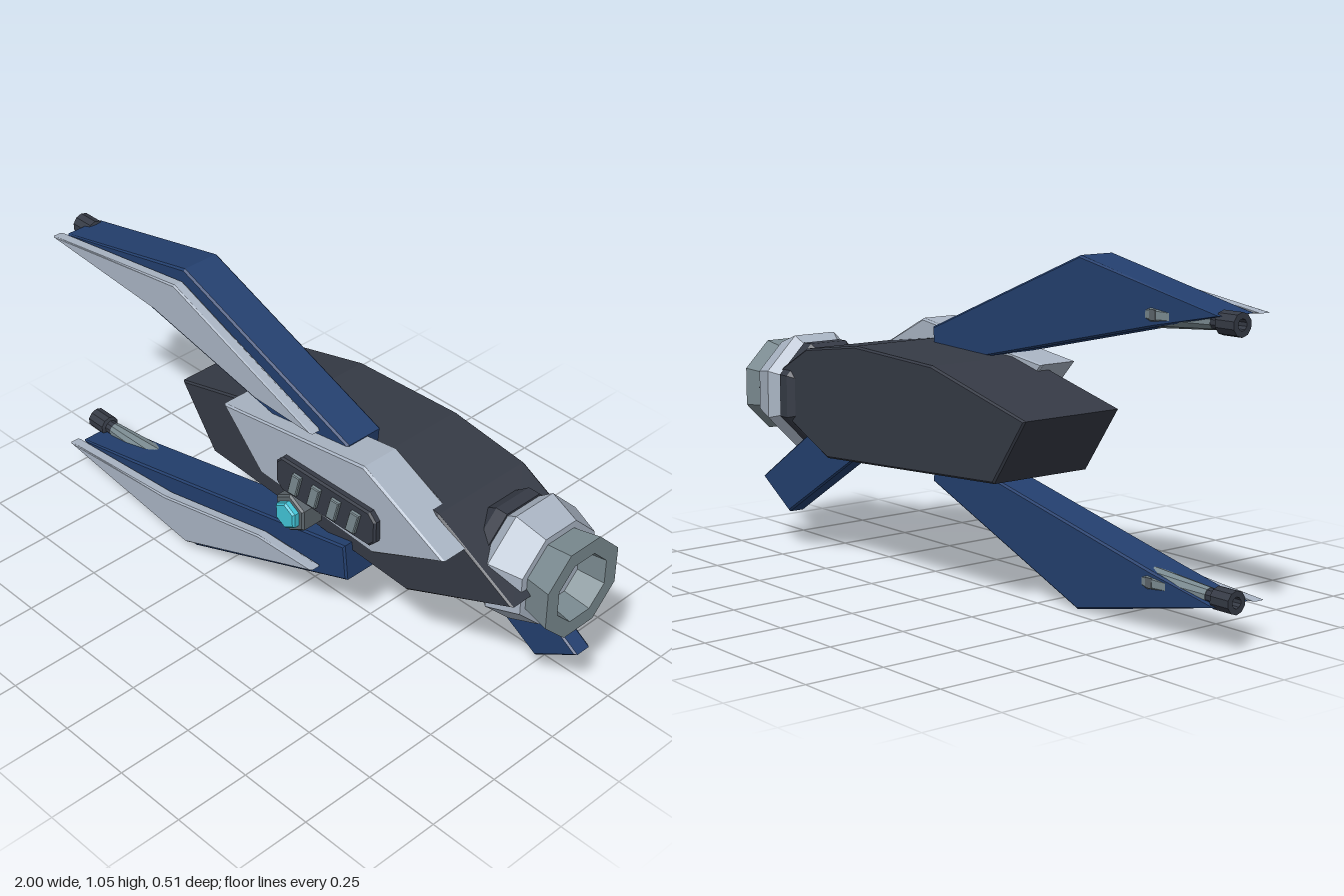
import * as THREE from 'three';

const mat = (name, color) => {
  const m = new THREE.MeshStandardMaterial({ color });
  m.name = name;
  return m;
};

export function createModel() {
  const dark = mat('charcoal', 0x353a45);
  const blue = mat('navy', 0x233f6e);
  const light = mat('lightGrey', 0xa9b4c3);
  const steel = mat('steel', 0x7a8a90);
  const gun = mat('gunmetal', 0x5c656b);
  const cyan = mat('cyan', 0x41c3d6);

  const model = new THREE.Group();
  model.name = 'spacecraft';

  const add = (name, geometry, material, parent = model) => {
    const mesh = new THREE.Mesh(geometry, material);
    mesh.name = name;
    parent.add(mesh);
    return mesh;
  };

  // Slab with a front outline, running from z0 to z1, with small bevelled edges
  const slab = (points, z0, z1, bevel = 0.006) => {
    const shape = new THREE.Shape(points.map(([x, y]) => new THREE.Vector2(x, y)));
    const g = new THREE.ExtrudeGeometry(shape, {
      depth: z1 - z0 - 2 * bevel, bevelEnabled: bevel > 0, bevelSize: bevel,
      bevelThickness: bevel, bevelOffset: -bevel, bevelSegments: 1,
    });
    return g.translate(0, 0, z0 + bevel);
  };

  // Flat-sided ring turned around the x axis; points are [apothem, x]
  const turned = (points, sides, y, z) => {
    const k = 1 / Math.cos(Math.PI / sides);
    const g = new THREE.LatheGeometry(points.map(([r, x]) => new THREE.Vector2(r * k, x)), sides)
      .rotateY(Math.PI / sides).toNonIndexed();
    g.computeVertexNormals();
    return g.rotateZ(-Math.PI / 2).translate(0, y, z);
  };

  // Hull
  add('hull', slab([[-0.45, 0.6], [-0.31, 0.4], [0.53, 0.35], [0.93, 0.53],
    [0.64, 0.69], [0.37, 0.727], [-0.02, 0.71]], -0.22, 0.14), dark);
  add('sidePlate', slab([[-0.16, 0.7], [0, 0.53], [0.47, 0.5], [0.745, 0.63], [0.43, 0.785]],
    0.09, 0.224), light);

  // Vent with slanted slats
  const vent = new THREE.Group();
  vent.name = 'vent';
  model.add(vent);
  add('ventFrame', slab([[0.115, 0.54], [0.475, 0.54], [0.5, 0.565], [0.5, 0.635], [0.475, 0.66],
    [0.115, 0.66], [0.09, 0.635], [0.09, 0.565]], 0.21, 0.245), dark, vent);
  for (let i = 0; i < 4; i++) {
    const x = 0.15 + i * 0.08;
    add('ventSlat', slab([[x, 0.56], [x + 0.035, 0.56], [x + 0.055, 0.635], [x + 0.02, 0.635]],
      0.235, 0.257, 0.003), steel, vent);
  }

  // Hexagonal lamp
  const hexagon = (r) => Array.from({ length: 6 }, (_, i) => {
    const a = Math.PI / 6 + i * Math.PI / 3;
    return [0.115 + r * Math.cos(a), 0.438 + r * Math.sin(a)];
  });
  add('lampHousing', slab(hexagon(0.068), 0.12, 0.215), gun);
  add('lampLens', slab(hexagon(0.047), 0.2, 0.236), cyan);

  // Engine at the +x end
  const engine = new THREE.Group();
  engine.name = 'engine';
  model.add(engine);
  const ey = 0.524, ez = -0.071;
  add('engineCollar', turned([[0, 0.66], [0.125, 0.67], [0.165, 0.73], [0.165, 0.77], [0, 0.775]],
    8, ey, ez), dark, engine);
  add('engineRing', turned([[0.1, 0.76], [0.155, 0.765], [0.185, 0.81], [0.153, 0.91], [0.1, 0.912]],
    8, ey, ez), light, engine);
  add('nozzle', turned([[0.13, 0.9], [0.148, 1], [0.1, 1], [0.087, 0.912]], 8, ey, ez), steel, engine);
  add('nozzleCore', turned([[0.095, 0.912], [0.0001, 0.912]], 8, ey, ez), light, engine);

  // Tail fin
  add('tailFin', slab([[0.38, 0.39], [0.815, 0.122], [0.968, 0.22], [0.62, 0.45]], -0.18, -0.118), blue);

  // Upper and lower wings, mirrored about the mid height
  for (const side of [1, -1]) {
    const wing = new THREE.Group();
    wing.name = side > 0 ? 'upperWing' : 'lowerWing';
    model.add(wing);
    const Y = (y) => (side > 0 ? y : 1.048 - y);
    const flip = (pts) => pts.map(([x, y]) => [x, Y(y)]);
    add('wingBlade', slab(flip([[-0.95, 0.925], [-0.69, 0.87], [0.305, 0.65], [0.318, 0.772],
      [-0.38, 1.048]]), 0.042, 0.174), blue, wing);
    add('wingPanel', slab(flip([[-0.97, 0.925], [-0.48, 0.88], [-0.03, 0.78], [0.21, 0.775],
      [-0.38, 1.01]]), 0.178, 0.215, 0.005), light, wing);
    const by = Y(0.905);
    add('gunBarrel', turned([[0, -0.9], [0.023, -0.9], [0.038, -0.68], [0.02, -0.6], [0, -0.6]],
      10, by, 0.075), steel, wing);
    add('gunMuzzle', turned([[0.016, -0.95], [0.016, -1], [0.033, -1], [0.033, -0.93],
      [0.022, -0.925], [0.022, -0.88]], 10, by, 0.075).toNonIndexed(), dark, wing);
    add('muzzleBore', turned([[0.0001, -0.97], [0.018, -0.97]], 10, by, 0.075), dark, wing);
    add('wingStud', new THREE.BoxGeometry(0.025, 0.03, 0.01).translate(-0.69, by, 0.042), gun, wing);
  }
  return model;
}
